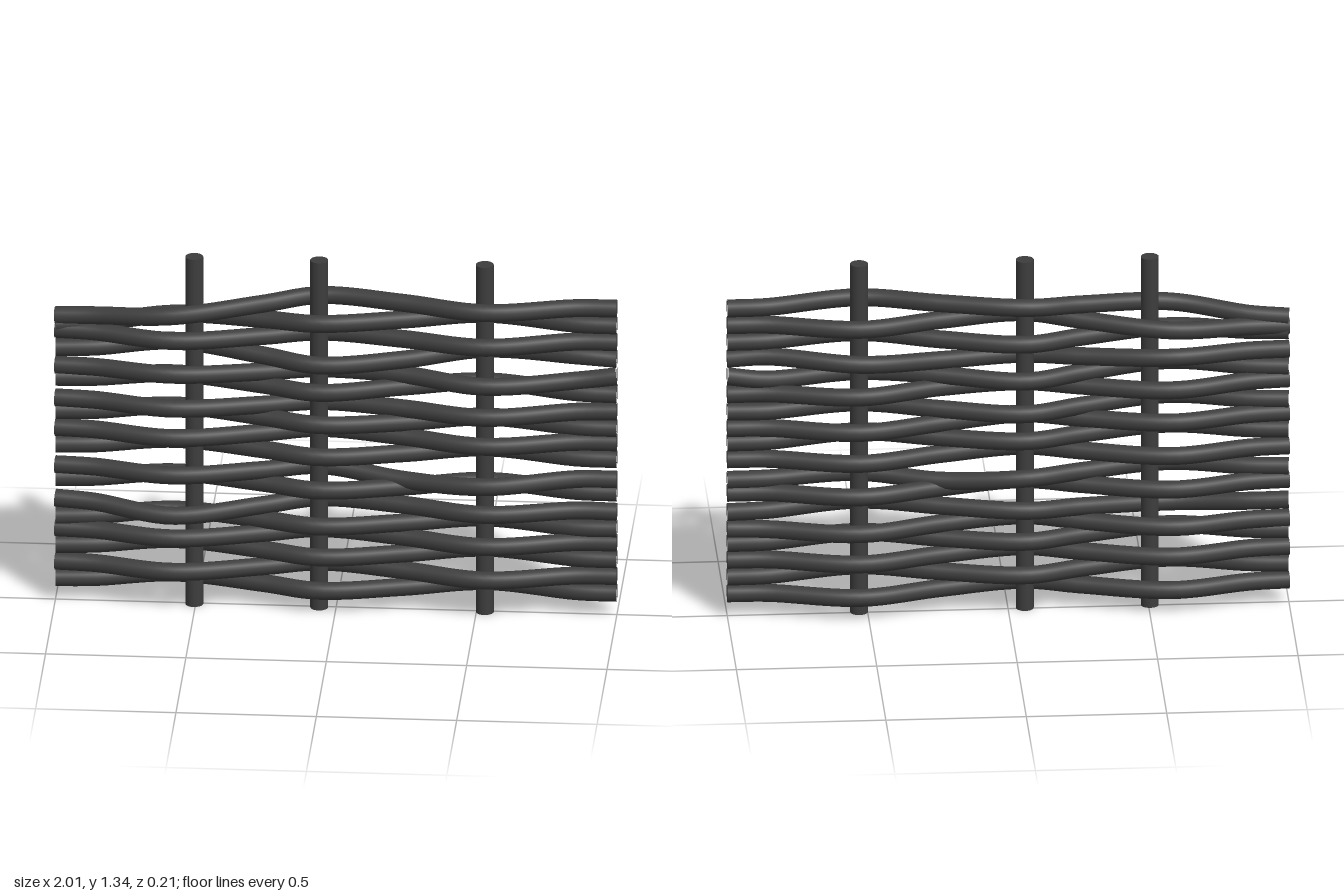
import * as THREE from 'three';

const ROD_RADIUS = 0.032;
const POST_HEIGHT = 1.34;
const material = new THREE.MeshStandardMaterial({ color: 0x3d3d3d });

// Weave seen from above: x stations and sideways swing around the three posts
const weave = [
  [-1, 0], [-0.86, 0.012], [-0.58, 0.073], [-0.26, 0], [-0.06, -0.057],
  [0.24, 0], [0.53, 0.073], [0.86, 0.004], [1, 0],
];

// Sag of the uneven rods at x = -1, -0.55, -0.06, 0.3, 0.75, 1
const sagX = [-1, -0.55, -0.06, 0.3, 0.75, 1];
const sags = {
  4: [-0.02, -0.015, -0.01, -0.01, -0.015, -0.01],
  5: [-0.015, -0.042, -0.01, -0.005, -0.005, -0.01],
  7: [-0.015, -0.015, -0.015, -0.04, -0.015, -0.015],
  10: [0, 0, -0.005, -0.01, -0.01, -0.01],
  11: [-0.015, -0.015, -0.025, -0.02, -0.015, -0.01],
  12: [0, -0.005, -0.01, 0, -0.005, -0.008],
  13: [-0.018, -0.013, -0.028, -0.018, -0.034, -0.003],
  14: [-0.015, -0.008, -0.033, -0.025, 0.012, 0],
  15: [-0.008, -0.012, -0.015, -0.01, 0, 0],
  16: [-0.055, -0.032, -0.002, 0, 0, 0],
  17: [-0.085, -0.045, -0.003, 0, 0, 0],
};

function sagAt(sag, x) {
  if (!sag) return 0;
  let i = 0;
  while (i < sagX.length - 2 && x > sagX[i + 1]) i++;
  const t = (x - sagX[i]) / (sagX[i + 1] - sagX[i]);
  return THREE.MathUtils.lerp(sag[i], sag[i + 1], THREE.MathUtils.smoothstep(t, 0, 1));
}

// One woven rod with closed ends
function makeRod(index) {
  const side = index % 2 ? 1 : -1;
  const base = 0.085 + 0.0645 * index;
  const points = weave.map(([x, swing]) =>
    new THREE.Vector3(x, base + sagAt(sags[index], x), 0.002 + side * swing));
  const curve = new THREE.CatmullRomCurve3(points);
  const rod = new THREE.Group();
  rod.name = 'wovenRod' + (index + 1);
  const stem = new THREE.Mesh(new THREE.TubeGeometry(curve, 56, ROD_RADIUS, 14), material);
  stem.name = 'rodStem';
  rod.add(stem);
  for (const end of [-1, 1]) {
    const cap = new THREE.Mesh(new THREE.CircleGeometry(ROD_RADIUS, 14), material);
    cap.name = 'rodEnd';
    cap.position.copy(points[end < 0 ? 0 : points.length - 1]);
    cap.rotation.y = end * Math.PI / 2;
    rod.add(cap);
  }
  return rod;
}

export function createModel() {
  const fence = new THREE.Group();
  fence.name = 'wattleFence';

  // Upright posts
  for (const x of [-0.505, -0.06, 0.53]) {
    const post = new THREE.Mesh(
      new THREE.CylinderGeometry(ROD_RADIUS, ROD_RADIUS, POST_HEIGHT, 20), material);
    post.name = 'post';
    post.position.set(x, POST_HEIGHT / 2, 0.006);
    fence.add(post);
  }

  // Horizontal rods, alternating sides of the posts
  for (let i = 0; i < 18; i++) fence.add(makeRod(i));
  return fence;
}
